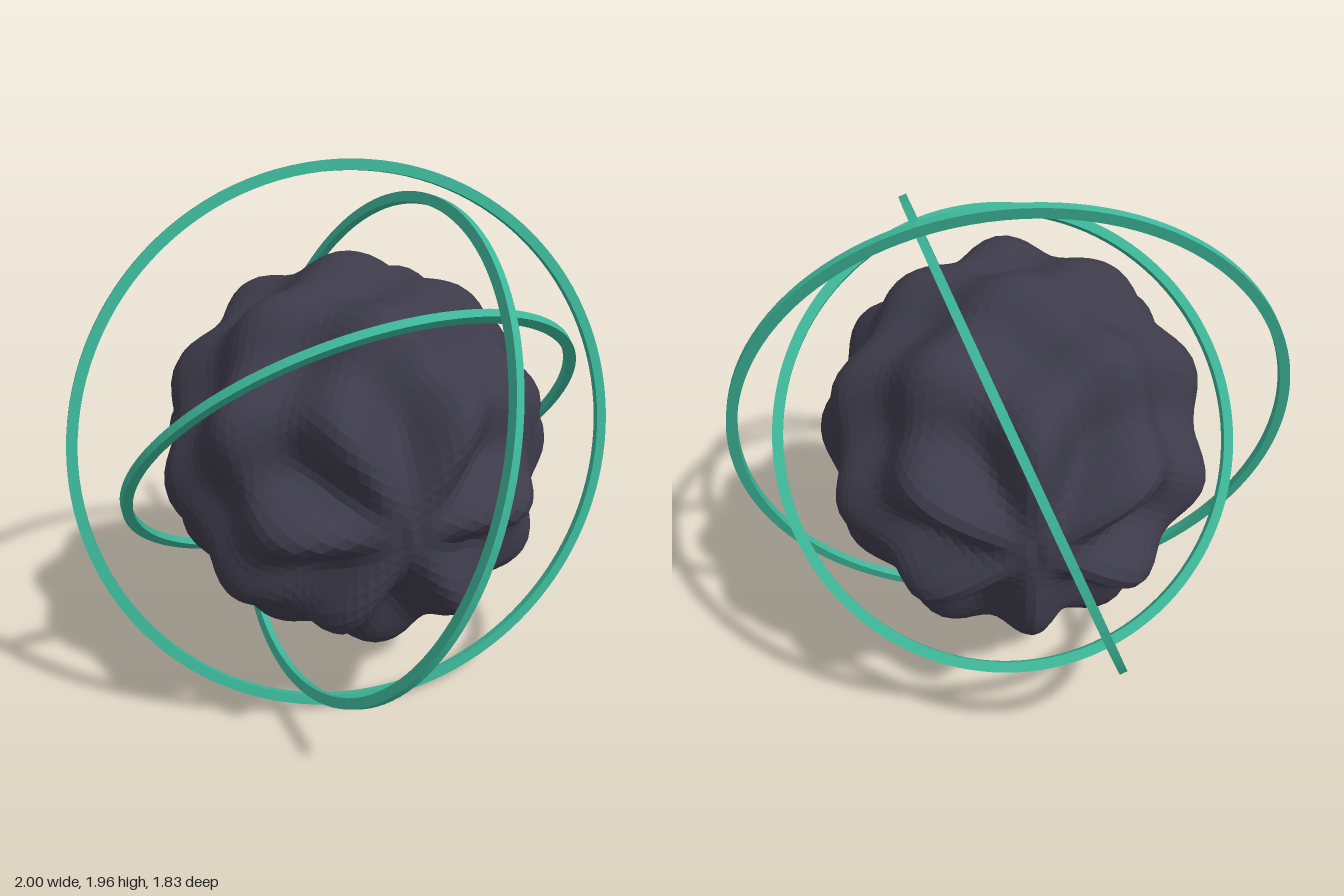
import * as THREE from 'three';

const CENTER_Y = 0.98;

// Core: faceted ball with six-fold lobes around z that flip in bands along z.
function makeCore(material) {
  const geometry = new THREE.IcosahedronGeometry(1, 20);
  const pos = geometry.attributes.position;
  const v = new THREE.Vector3();
  for (let i = 0; i < pos.count; i++) {
    v.fromBufferAttribute(pos, i).normalize();
    const lobes = Math.cos(6 * Math.atan2(v.y, v.x));
    const bands = Math.sin(9.5 * v.z);
    const height = 0.05 + 0.035 * v.z * v.z;
    v.multiplyScalar(0.648 + height * lobes * bands);
    pos.setXYZ(i, v.x, v.y, v.z);
  }
  geometry.computeVertexNormals();
  const core = new THREE.Mesh(geometry, material);
  core.name = 'bumpyCore';
  return core;
}

// Slim flat-sided hoop whose axis points along the given normal.
function makeRing(name, outer, normal, material) {
  const inner = outer - 0.037;
  const half = 0.014;
  const profile = [[inner, -half], [outer, -half], [outer, half], [inner, half], [inner, -half]];
  const geometry = new THREE.LatheGeometry(profile.map(([r, h]) => new THREE.Vector2(r, h)), 120);
  const ring = new THREE.Mesh(geometry, material);
  ring.name = name;
  const axis = new THREE.Vector3(...normal).normalize();
  ring.quaternion.setFromUnitVectors(new THREE.Vector3(0, 1, 0), axis);
  return ring;
}

export function createModel() {
  const dark = new THREE.MeshStandardMaterial({ color: 0x3d3b4a, flatShading: true });
  dark.name = 'darkSlate';
  const green = new THREE.MeshStandardMaterial({ color: 0x3cb598, flatShading: true });
  green.name = 'seaGreen';

  const model = new THREE.Group();
  model.name = 'ringedCore';
  const body = new THREE.Group();
  body.name = 'coreAndRings';
  body.position.y = CENTER_Y;
  body.add(
    makeCore(dark),
    makeRing('outerRing', 1.0, [0, 0.22, 0.97], green),
    makeRing('middleRing', 0.92, [0.925, -0.34, -0.14], green),
    makeRing('innerRing', 0.847, [-0.13, 0.634, -0.763], green),
  );
  model.add(body);
  return model;
}
